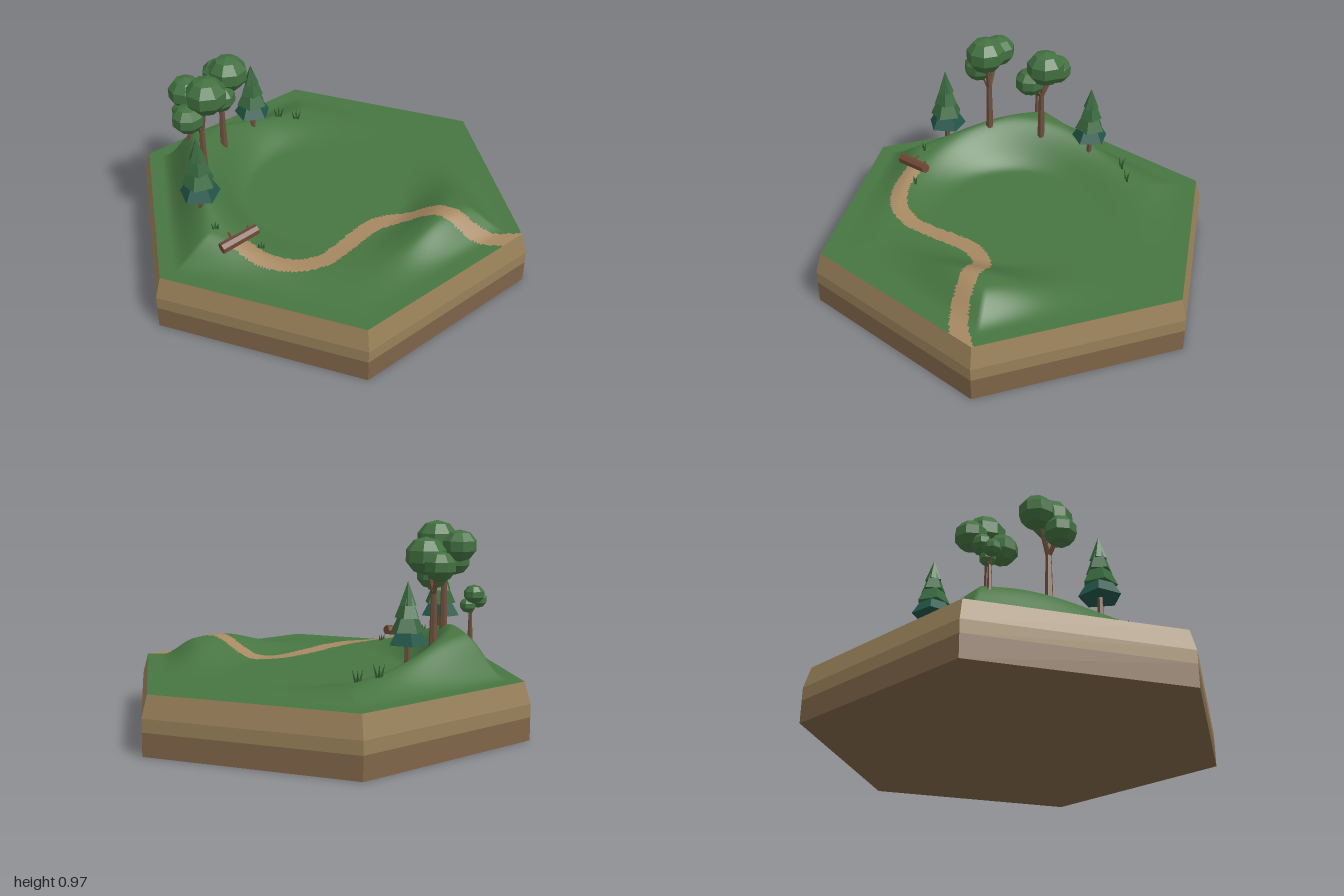
import * as THREE from 'three';
import { mergeVertices } from 'three/addons/utils/BufferGeometryUtils.js';

const mat = (name, color, opts = {}) => {
  const m = new THREE.MeshStandardMaterial({ color, ...opts });
  m.name = name;
  return m;
};
const flat = { flatShading: true };
const M = {
  grass: mat('grass', 0x477541),
  path: mat('dirt path', 0xa68862),
  upperSoil: mat('upper soil', 0x988059, flat),
  lowerSoil: mat('lower soil', 0x7f6448, flat),
  canopy: mat('canopy green', 0x427040, flat),
  pine: mat('pine green', 0x39693f, flat),
  teal: mat('pine teal', 0x215648, flat),
  bark: mat('bark', 0x6d4f3c, flat),
  log: mat('log wood', 0x6f4936, flat),
  blade: mat('grass blade', 0x315c32, flat),
};

const TOP = 0.27, RIM = 0.97;
const V = (x, y, z) => new THREE.Vector3(x, y, z);
const hexCorner = (k) => [Math.sin(k * Math.PI / 3), Math.cos(k * Math.PI / 3)];
const smooth = THREE.MathUtils.smoothstep;

// Ground height: two curved ridges round a flat clearing, fading out at the rim
function height(x, z) {
  const r = Math.hypot(x, z);
  const edge = 0.866 - Math.max(Math.abs(x),
    0.5 * Math.abs(x) + 0.866 * Math.abs(z));
  const ridge = (dx, dz, amp, spread) => {
    const cos = (x * dx + z * dz) / (Math.max(r, 1e-6) * Math.hypot(dx, dz));
    const a = Math.acos(THREE.MathUtils.clamp(cos, -1, 1)) * 180 / Math.PI;
    return amp * Math.exp(-0.5 * (a / spread) ** 2);
  };
  const hills = ridge(-0.57, -0.17, 0.215, 40) + ridge(0.48, 0.38, 0.108, 21);
  return TOP + hills * smooth(r, 0.38, 0.62) * smooth(edge, 0.09, 0.28);
}

function mesh(parent, name, geometry, material, x = 0, y = 0, z = 0) {
  const m = new THREE.Mesh(geometry, material);
  m.name = name;
  m.position.set(x, y, z);
  parent.add(m);
  return m;
}

function group(parent, name) {
  const g = new THREE.Group();
  g.name = name;
  parent.add(g);
  return g;
}

// Tapered rod between two points
function rod(parent, name, a, b, r0, r1, material, sides = 6) {
  const dir = b.clone().sub(a);
  const m = mesh(parent, name, new THREE.CylinderGeometry(r1, r0, dir.length(), sides), material);
  m.position.copy(a).addScaledVector(dir, 0.5);
  m.quaternion.setFromUnitVectors(V(0, 1, 0), dir.normalize());
  return m;
}

// Hexagonal ground, with the faces near the path curve painted as dirt
function terrain(parent) {
  const route = new THREE.CatmullRomCurve3([
    [-0.46, 0.41], [-0.39, 0.48], [-0.3, 0.525], [-0.2, 0.535], [-0.1, 0.505], [0, 0.43],
    [0.1, 0.345], [0.2, 0.285], [0.3, 0.275], [0.4, 0.315], [0.5, 0.39],
    [0.6, 0.46], [0.7, 0.5], [0.82, 0.515], [0.95, 0.51],
  ].map(([x, z]) => V(x, 0, z))).getPoints(200);
  const n = 70, grass = [], dirt = [];
  for (let k = 0; k < 6; k++) {
    const a = hexCorner(k), b = hexCorner(k + 1);
    const at = (i, j) => {
      const x = RIM * (a[0] * i + b[0] * j) / n, z = RIM * (a[1] * i + b[1] * j) / n;
      return [x, height(x, z), z];
    };
    const add = (p, q, s) => {
      const cx = (p[0] + q[0] + s[0]) / 3, cz = (p[2] + q[2] + s[2]) / 3;
      const onPath = cz > 0.2 && route.some((c) => Math.hypot(c.x - cx, c.z - cz) < 0.042);
      (onPath ? dirt : grass).push(...p, ...q, ...s);
    };
    for (let i = 0; i < n; i++) {
      for (let j = 0; i + j < n; j++) {
        add(at(i, j), at(i + 1, j), at(i, j + 1));
        if (i + j < n - 1) add(at(i + 1, j), at(i + 1, j + 1), at(i, j + 1));
      }
    }
  }
  let g = new THREE.BufferGeometry();
  g.setAttribute('position', new THREE.Float32BufferAttribute(grass.concat(dirt), 3));
  g = mergeVertices(g, 1e-5);
  g.clearGroups();
  g.addGroup(0, grass.length / 3, 0);
  g.addGroup(grass.length / 3, dirt.length / 3, 1);
  g.computeVertexNormals();
  mesh(parent, 'ground', g, [M.grass, M.path]);
}

// Soil slab: dark layer, light layer and a light bevel
function slab(parent) {
  const layer = (name, y0, y1, rTop, material, open) => mesh(parent, name,
    new THREE.CylinderGeometry(rTop, 1, y1 - y0, 6, 1, open), material, 0, (y0 + y1) / 2, 0);
  layer('lowerSoil', 0, 0.107, 1, M.lowerSoil, false);
  layer('upperSoil', 0.107, 0.168, 1, M.upperSoil, true);
  layer('soilBevel', 0.168, TOP, RIM, M.upperSoil, true);
}

// Round tree: trunk, a branch to every blob, faceted blobs [x, y, z, radius]
function roundTree(parent, name, x, z, forkY, r, blobs) {
  const g = group(parent, name);
  const fork = V(x, forkY, z);
  rod(g, 'trunk', V(x, height(x, z) - 0.02, z), fork, r, r * 0.7, M.bark);
  blobs.forEach(([bx, by, bz, br], i) => {
    rod(g, 'branch', fork, V(bx, by, bz), r * 0.65, r * 0.35, M.bark, 5);
    const b = mesh(g, 'foliage', new THREE.SphereGeometry(br, 8, 5), M.canopy, bx, by, bz);
    b.scale.y = 0.9;
    b.rotation.y = 0.4 + i * 1.1;
  });
}

// Pine: stacked five-sided tiers, the lowest one teal
function pine(parent, name, x, z, base, apex, r, turn) {
  const g = group(parent, name);
  rod(g, 'trunk', V(x, height(x, z) - 0.02, z), V(x, base + 0.04, z), 0.014, 0.012, M.bark);
  const h = apex - base;
  const tiers = [[0, 0.42, 1], [0.2, 0.64, 0.82], [0.42, 0.82, 0.62], [0.62, 1, 0.42]];
  tiers.forEach(([y0, y1, s], i) => {
    const t = mesh(g, 'tier', new THREE.CylinderGeometry(i === 3 ? 0 : r * s * 0.25, r * s, h * (y1 - y0), 5),
      i ? M.pine : M.teal, x, base + h * (y0 + y1) / 2, z);
    t.rotation.y = turn + i * 0.35;
  });
}

// Tuft of three leaning blades
function tuft(parent, x, z, h) {
  const g = group(parent, 'grassTuft');
  const y = height(x, z) - 0.005;
  for (const [dx, dz] of [[-0.4, 0.1], [0.05, -0.25], [0.42, 0.15]]) {
    rod(g, 'blade', V(x + dx * 0.02, y, z), V(x + dx * h, y + h, z + dz * h), 0.007, 0, M.blade, 4);
  }
}

export function createModel() {
  const model = new THREE.Group();
  model.name = 'hexTile';
  slab(model);
  terrain(model);

  roundTree(model, 'tallTree', -0.58, -0.04, 0.68, 0.02, [
    [-0.55, 0.882, -0.015, 0.1], [-0.635, 0.855, -0.11, 0.085], [-0.64, 0.775, -0.005, 0.078]]);
  roundTree(model, 'wideTree', -0.465, -0.285, 0.65, 0.02, [
    [-0.425, 0.826, -0.29, 0.098], [-0.475, 0.735, -0.225, 0.078], [-0.47, 0.785, -0.365, 0.078]]);
  roundTree(model, 'smallTree', -0.63, -0.32, 0.56, 0.012, [
    [-0.635, 0.655, -0.355, 0.048], [-0.665, 0.625, -0.32, 0.042], [-0.615, 0.6, -0.325, 0.038]]);
  pine(model, 'frontPine', -0.62, 0.18, 0.483, 0.787, 0.098, 0.5);
  pine(model, 'backPine', -0.295, -0.49, 0.458, 0.737, 0.093, Math.PI);

  // Fallen log with short stubs
  const log = group(model, 'fallenLog');
  rod(log, 'logBody', V(-0.555, 0.358, 0.44), V(-0.385, 0.382, 0.36), 0.027, 0.024, M.log, 7);
  rod(log, 'stub', V(-0.5, 0.366, 0.41), V(-0.515, 0.385, 0.365), 0.008, 0.006, M.log, 5);
  rod(log, 'stub', V(-0.43, 0.375, 0.38), V(-0.425, 0.4, 0.35), 0.007, 0.005, M.log, 5);

  tuft(model, -0.145, -0.61, 0.065);
  tuft(model, -0.053, -0.6, 0.06);
  tuft(model, -0.57, 0.32, 0.04);
  tuft(model, -0.375, 0.42, 0.035);
  return model;
}
